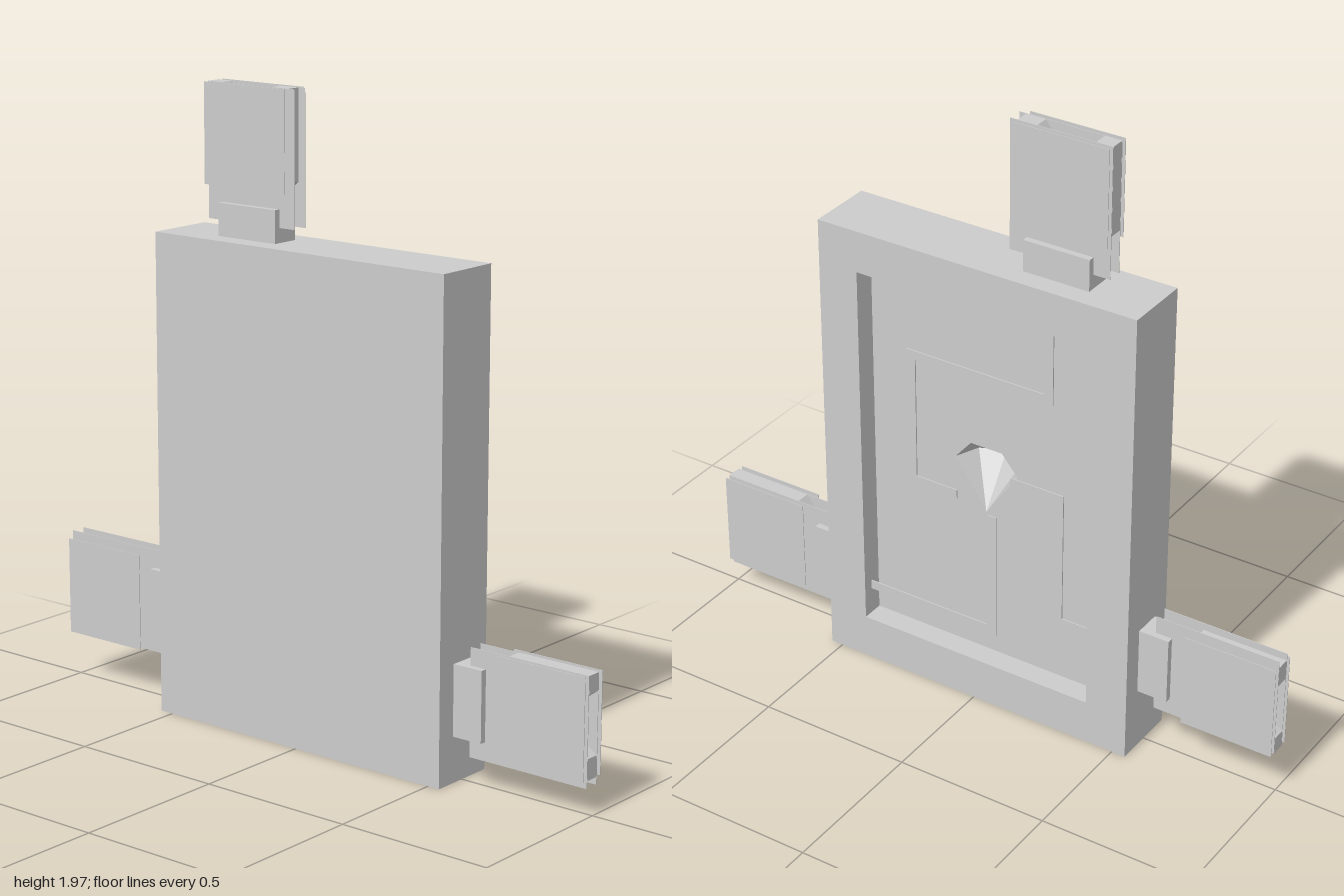
import * as THREE from 'three';

const grey = new THREE.MeshStandardMaterial({ color: 0xcccccc });
grey.name = 'grey';
grey.flatShading = true;
grey.side = THREE.DoubleSide;

// Box given by its limits on each axis
function box(name, [x0, x1], [y0, y1], [z0, z1]) {
  const mesh = new THREE.Mesh(new THREE.BoxGeometry(x1 - x0, y1 - y0, z1 - z0), grey);
  mesh.position.set((x0 + x1) / 2, (y0 + y1) / 2, (z0 + z1) / 2);
  mesh.name = name;
  return mesh;
}

const toPoints = (list) => list.map(([z, y]) => new THREE.Vector2(-z, y));

// Side profile of [z, y] points, extruded from x0 to x1
function slab(name, outline, hole, x0, x1) {
  const shape = new THREE.Shape(toPoints(outline));
  if (hole) shape.holes.push(new THREE.Path(toPoints(hole)));
  const geo = new THREE.ExtrudeGeometry(shape, { depth: x1 - x0, bevelEnabled: false });
  geo.rotateY(Math.PI / 2);
  geo.translate(x0, 0, 0);
  const mesh = new THREE.Mesh(geo, grey);
  mesh.name = name;
  return mesh;
}

const rect = (z0, z1, y0, y1) => [[z0, y0], [z1, y0], [z1, y1], [z0, y1]];

// Thin strip following a centre line of [z, y] points
function trace(name, path) {
  const group = new THREE.Group();
  group.name = name;
  const h = 0.015;
  for (let i = 0; i < path.length - 1; i++) {
    const [za, ya] = path[i], [zb, yb] = path[i + 1];
    // Run past inner bends by half a width, but not past the free ends
    const a = i > 0 ? h : 0, b = i < path.length - 2 ? h : 0;
    const dz = Math.sign(zb - za), dy = Math.sign(yb - ya);
    const zs = dz ? [za - dz * a, zb + dz * b].sort((p, q) => p - q) : [za - h, za + h];
    const ys = dy ? [ya - dy * a, yb + dy * b].sort((p, q) => p - q) : [ya - h, ya + h];
    group.add(box('traceSegment', [0.073, 0.077], ys, zs));
  }
  return group;
}

// Plug pointing along +y, with its foot at the origin
function connector(name) {
  const group = new THREE.Group();
  group.name = name;
  group.add(box('connectorBase', [-0.045, 0.045], [0, 0.1], [-0.11, 0.11]));
  // Core with tapered foot and notched end
  const core = [
    [-0.165, 0.455], [-0.165, 0.18], [-0.11, 0.135], [-0.06, 0.095], [0.04, 0.095],
    [0.09, 0.135], [0.145, 0.18], [0.145, 0.455], [0.08, 0.455], [0.02, 0.37],
    [-0.05, 0.37], [-0.11, 0.455],
  ];
  group.add(slab('connectorCore', core, null, -0.022, 0.022));
  for (const s of [-1, 1]) {
    const pair = (a, b) => (s > 0 ? [a, b] : [-b, -a]);
    group.add(box('innerSheet', pair(0.0225, 0.0245), [0.045, 0.455], [-0.165, 0.168]));
    group.add(box('outerSheet', pair(0.041, 0.043), [0.15, 0.455], [-0.165, 0.145]));
  }
  return group;
}

export function createModel() {
  const model = new THREE.Group();
  model.name = 'panelDevice';
  const outer = rect(-0.545, 0.54, 0, 1.51);

  // Case: back plate, recess floor with gem opening, raised frame
  const gem = [[0.055, 0.87], [0.11, 0.805], [0, 0.645], [-0.11, 0.805], [-0.055, 0.87]];
  const floorX = 0.037;
  model.add(slab('backPlate', outer, null, -0.11, -0.085));
  model.add(slab('recessFloor', outer, gem, -0.085, floorX));
  model.add(slab('frame', outer, rect(-0.405, 0.405, 0.145, 1.375), floorX, 0.11));

  // Gem-shaped hollow sunk into the floor
  const profile = [[0, 0.645], [0.11, 0.805], [0.055, 0.87], [0, 0.87]]
    .map(([r, y]) => new THREE.Vector2(r, y));
  const socket = new THREE.Mesh(new THREE.LatheGeometry(profile, 4, Math.PI, Math.PI), grey);
  socket.position.x = floorX;
  socket.name = 'gemSocket';
  model.add(socket);

  // Strips running from the gem to the recess edges
  model.add(trace('upperTrace', [[-0.24, 1.375], [-0.24, 1.135], [0.24, 1.135], [0.24, 0.7], [0.08, 0.7]]));
  model.add(trace('sideTrace', [[-0.11, 0.81], [-0.28, 0.81], [-0.28, 0.375], [-0.405, 0.375]]));
  model.add(trace('lowerTrace', [[-0.045, 0.665], [-0.045, 0.25], [0.405, 0.25]]));

  // Three plugs: top, front and back
  const plugs = [
    ['topConnector', 1.51, -0.24, 0],
    ['frontConnector', 0.253, 0.54, Math.PI / 2],
    ['backConnector', 0.315, -0.545, -Math.PI / 2],
  ];
  for (const [name, y, z, turn] of plugs) {
    const plug = connector(name);
    plug.position.set(0, y, z);
    plug.rotation.x = turn;
    model.add(plug);
  }
  return model;
}
